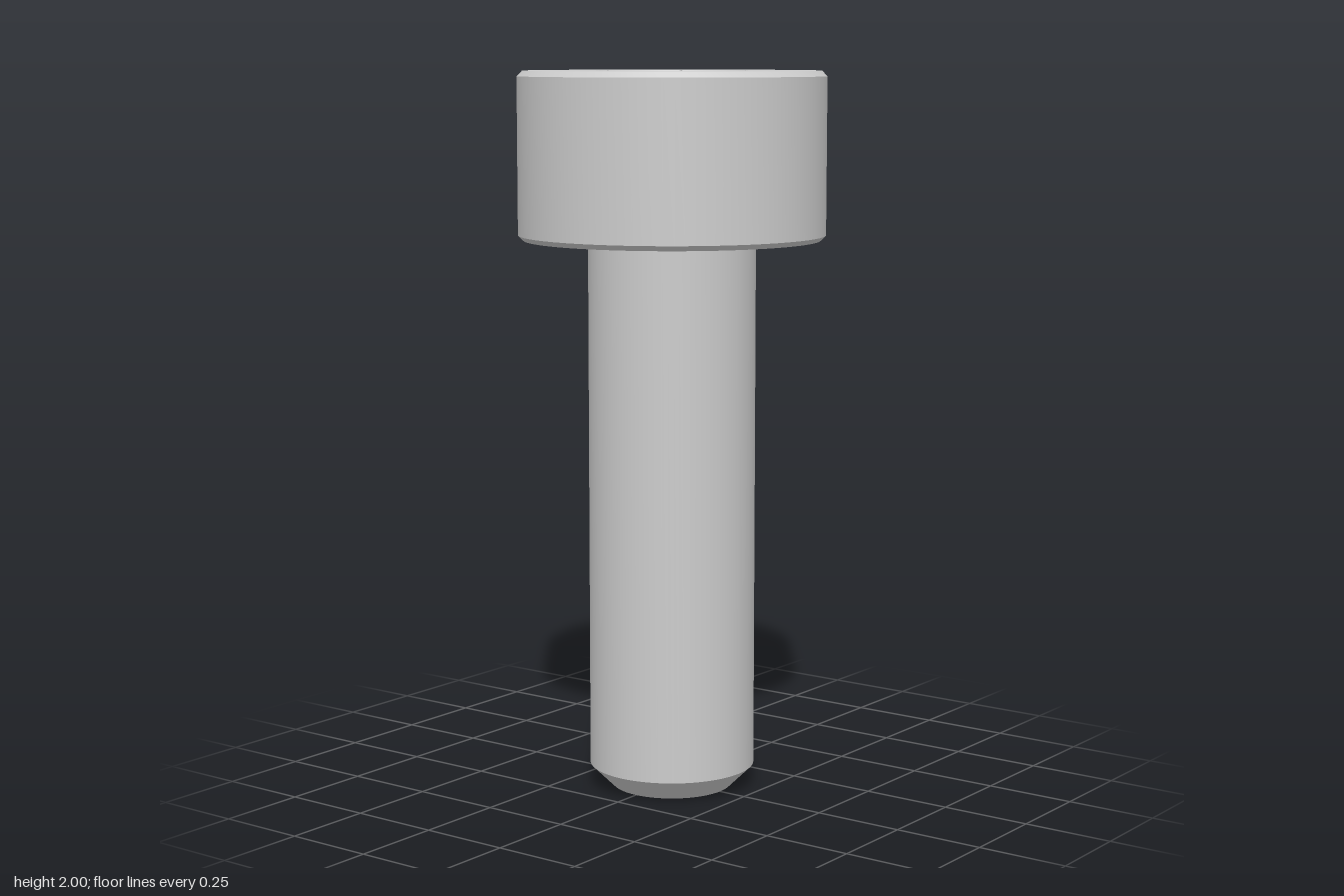
import * as THREE from 'three';
import { toCreasedNormals } from 'three/addons/utils/BufferGeometryUtils.js';

const SEGMENTS = 96; // multiple of 12, so the hexagon corners fall on vertices
const SHANK_R = 0.231, HEAD_R = 0.423, HEAD_BASE = 1.54, TOP = 2;
const HEX_R = 0.222, SOCKET_TIP = 1.69;

const material = new THREE.MeshStandardMaterial({ color: 0xcccccc });

// Turned solid from [radius, height] pairs, with sharp edges kept
function turned(profile) {
  return new THREE.LatheGeometry(profile.map(([r, y]) => new THREE.Vector2(r, y)), SEGMENTS);
}

function addPart(group, name, geometry) {
  const mesh = new THREE.Mesh(toCreasedNormals(geometry, 0.45), material);
  mesh.name = name;
  group.add(mesh);
}

// Hexagonal recess: conical lead-in, flat walls and a drilled conical floor
function socketGeometry() {
  const geometry = turned([[HEX_R, TOP], [HEX_R, 1.95], [HEX_R, 1.8], [0, SOCKET_TIP]]);
  const pos = geometry.attributes.position;
  const apothem = HEX_R * Math.cos(Math.PI / 6);
  const sector = Math.PI / 3;
  for (let i = 0; i < pos.count; i++) {
    const ring = i % 4;
    if (ring === 0 || ring === 3) continue;
    // Pull the round wall in to the hexagon, corners on the x axis
    const angle = Math.atan2(pos.getZ(i), pos.getX(i)) + 2 * Math.PI;
    const r = apothem / Math.cos((angle % sector) - sector / 2);
    const scale = r / HEX_R;
    const y = ring === 1
      ? TOP - (HEX_R - r)                         // 45 degree lead-in
      : SOCKET_TIP + r * Math.tan(Math.PI / 6);   // floor cone
    pos.setXYZ(i, pos.getX(i) * scale, y, pos.getZ(i) * scale);
  }
  return geometry;
}

export function createModel() {
  const group = new THREE.Group();
  group.name = 'socketHeadBolt';

  // Shank with chamfered tip
  addPart(group, 'shank', turned([
    [0, 0], [0.168, 0], [SHANK_R, 0.062], [SHANK_R, HEAD_BASE],
  ]));

  // Cylindrical head, chamfered on both rims, open around the socket
  addPart(group, 'head', turned([
    [SHANK_R, HEAD_BASE], [HEAD_R - 0.014, HEAD_BASE], [HEAD_R, HEAD_BASE + 0.014],
    [HEAD_R, TOP - 0.015], [HEAD_R - 0.015, TOP], [HEX_R, TOP],
  ]));

  addPart(group, 'hexSocket', socketGeometry());
  return group;
}
